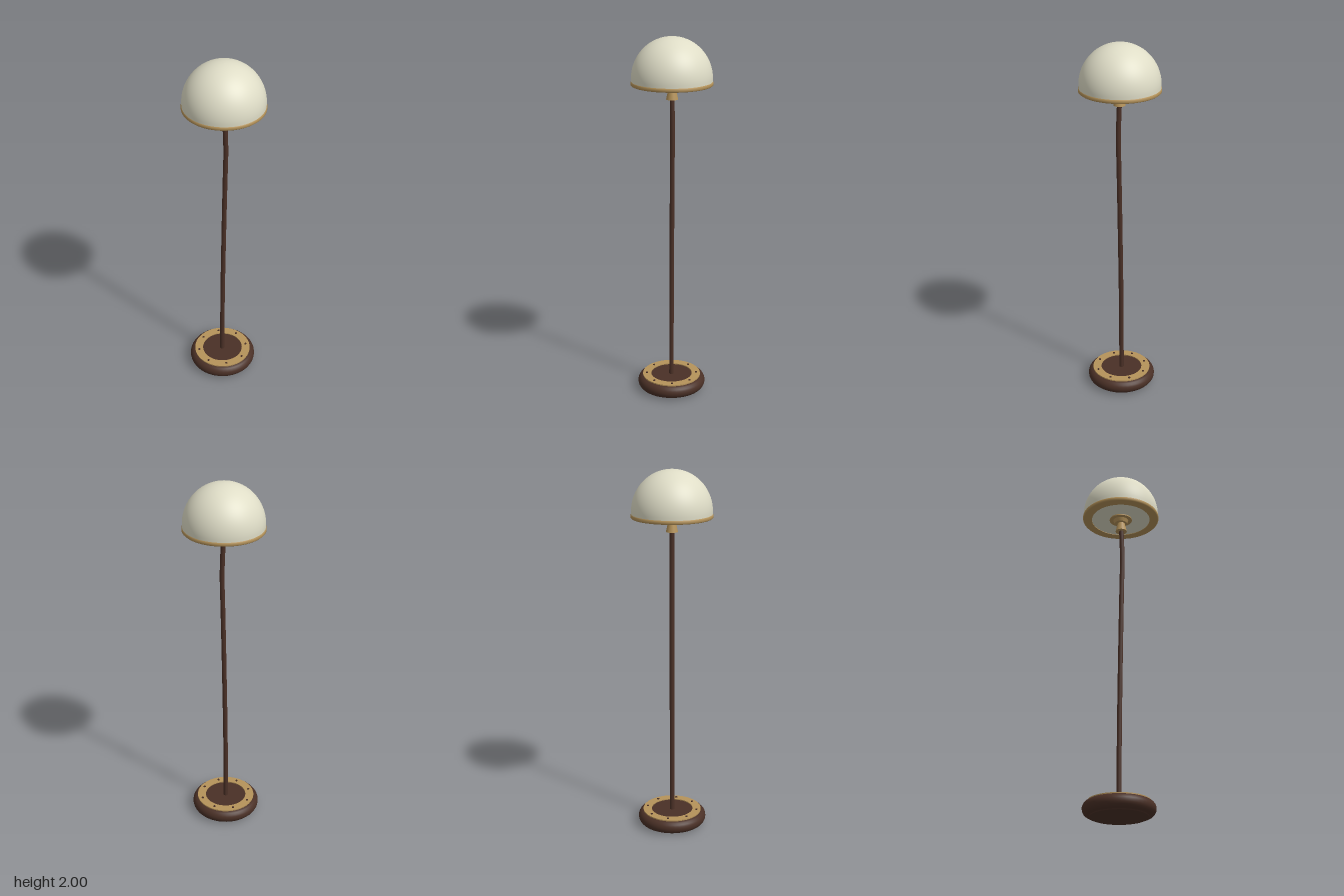
import * as THREE from 'three';

const material = (name, color) => {
  const m = new THREE.MeshStandardMaterial({ color });
  m.name = name;
  return m;
};

export function createModel() {
  const wood = material('dark brown', 0x4a3026);
  const brass = material('brass', 0xb5935a);
  const cream = material('cream', 0xdfddc7);

  const lamp = new THREE.Group();
  lamp.name = 'floorLamp';

  const add = (name, geometry, mat, x = 0, y = 0, z = 0) => {
    const mesh = new THREE.Mesh(geometry, mat);
    mesh.name = name;
    mesh.position.set(x, y, z);
    lamp.add(mesh);
    return mesh;
  };
  // Profiles run from bottom to top so the faces point outward
  const lathe = (points, sides = 48) =>
    new THREE.LatheGeometry(points.map(([r, y]) => new THREE.Vector2(r, y)), sides);

  const baseX = -0.01;

  // Base: rounded disc with a flat foot and top
  const basePoints = [[0, 0.005], [0.155, 0.005]];
  for (let i = 0; i <= 10; i++) {
    const a = -Math.PI / 2 + (i / 10) * Math.PI;
    basePoints.push([0.155 + 0.035 * Math.cos(a), 0.042 + 0.037 * Math.sin(a)]);
  }
  basePoints.push([0, 0.079]);
  add('base', lathe(basePoints), wood, baseX);
  add('foot', new THREE.CylinderGeometry(0.155, 0.15, 0.006, 48), wood, baseX, 0.003);

  // Brass ring on the base with small rivets
  add('baseRing', lathe([
    [0.163, 0.077], [0.163, 0.084], [0.163, 0.084], [0.116, 0.084], [0.116, 0.084], [0.116, 0.077],
  ]), brass, baseX);
  for (let i = 0; i < 8; i++) {
    const a = (i / 8) * Math.PI * 2 + Math.PI / 12;
    add('rivet', new THREE.CylinderGeometry(0.006, 0.007, 0.006, 10), wood,
      baseX + 0.14 * Math.cos(a), 0.085, 0.14 * Math.sin(a));
  }

  // Pole: gently leaning, bending back near the top
  const path = new THREE.CatmullRomCurve3([
    [-0.011, 0.07], [-0.009, 0.45], [-0.002, 0.9], [0.006, 1.3],
    [0.01, 1.48], [0.008, 1.58], [0.003, 1.69],
  ].map(([x, y]) => new THREE.Vector3(x, y, 0)));
  add('pole', new THREE.TubeGeometry(path, 40, 0.013, 12), wood);

  // Socket and stepped collar under the shade
  add('socket', new THREE.CylinderGeometry(0.02, 0.032, 0.056, 24), brass, 0.003, 1.7);
  add('collar', new THREE.CylinderGeometry(0.043, 0.036, 0.02, 32), brass, 0, 1.733);
  add('collarPlate', new THREE.CylinderGeometry(0.064, 0.064, 0.008, 32), brass, 0, 1.748);

  // Shade: dome with a short straight skirt
  const domePoints = [[0.213, 1.76]];
  for (let i = 0; i <= 20; i++) {
    const a = (i / 20) * Math.PI / 2;
    domePoints.push([0.214 * Math.cos(a), 1.782 + 0.218 * Math.sin(a)]);
  }
  add('shade', lathe(domePoints, 64), cream);

  // Brass rim band and the diffuser closing the underside
  add('rim', lathe([
    [0.166, 1.752], [0.166, 1.747], [0.166, 1.747], [0.212, 1.747], [0.217, 1.752],
    [0.217, 1.763], [0.213, 1.768],
  ], 64), brass);
  add('diffuser', new THREE.CylinderGeometry(0.17, 0.17, 0.004, 48), cream, 0, 1.752);

  return lamp;
}
